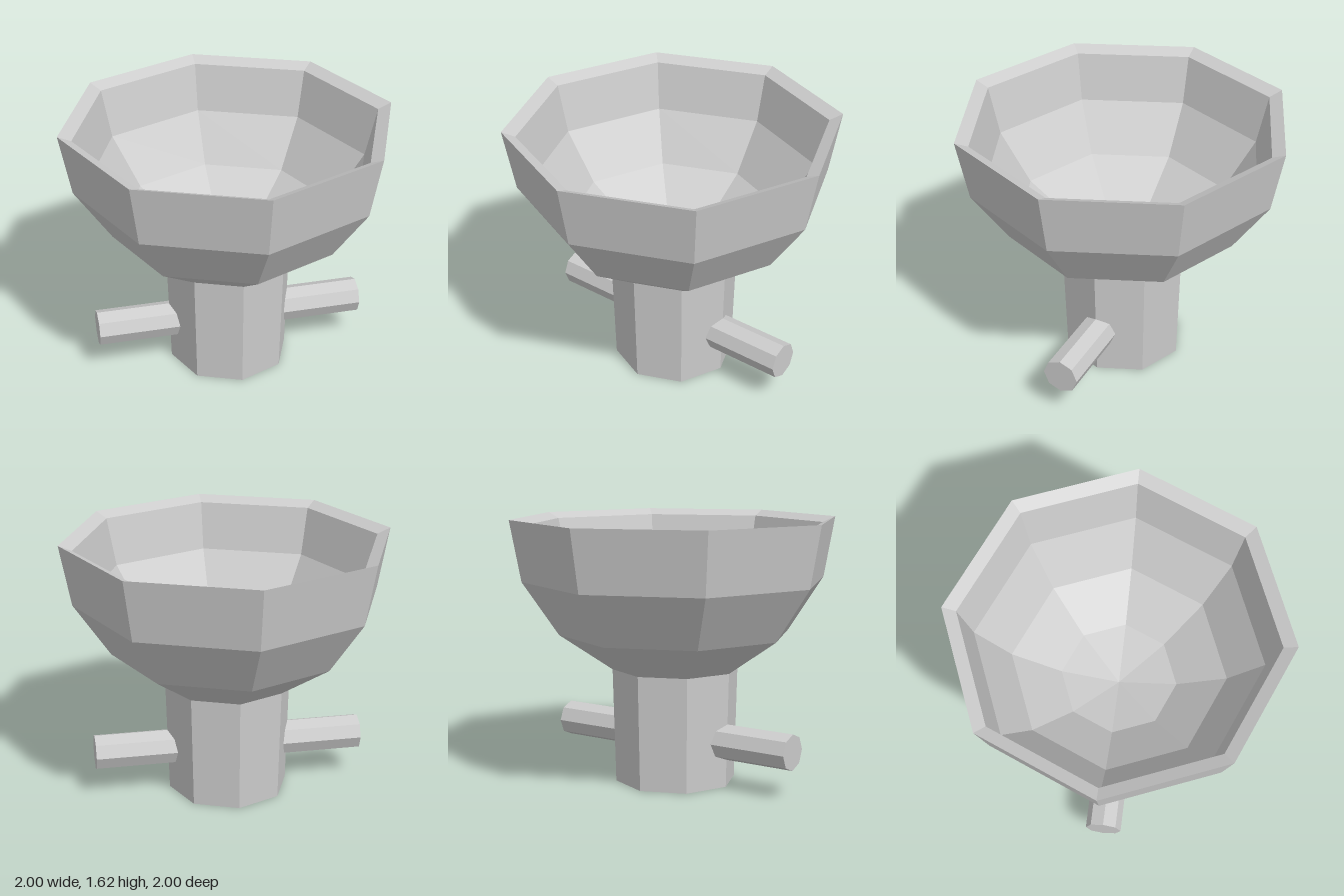
import * as THREE from 'three';

const SIDES = 8;

export function createModel() {
  const model = new THREE.Group();
  model.name = 'funnelBowl';
  const material = new THREE.MeshStandardMaterial({ color: 0xcccccc, flatShading: true });

  // Closed stem flaring into a thick-walled bowl: up the outside, over the
  // inward-sloping rim, down the inside
  const profile = [
    [0, 0], [0.372, 0], [0.39, 0.7], [0.713, 0.92], [0.932, 1.245], [1, 1.615],
    [0.92, 1.58], [0.85, 1.285], [0.65, 0.99], [0.355, 0.79], [0, 0.71],
  ].map(([r, y]) => new THREE.Vector2(r, y));
  const bowl = new THREE.Mesh(new THREE.LatheGeometry(profile, SIDES), material);
  bowl.name = 'bowlAndStem';
  model.add(bowl);

  // Mirrored pegs, rooted inside the stem
  const inner = 0.25, outer = 0.835;
  for (const [side, name] of [[1, 'leftPeg'], [-1, 'rightPeg']]) {
    const peg = new THREE.Mesh(
      new THREE.CylinderGeometry(0.11, 0.11, outer - inner, SIDES), material);
    peg.name = name;
    peg.rotation.z = Math.PI / 2;
    peg.position.set(side * (inner + outer) / 2, 0.28, 0);
    model.add(peg);
  }
  return model;
}
